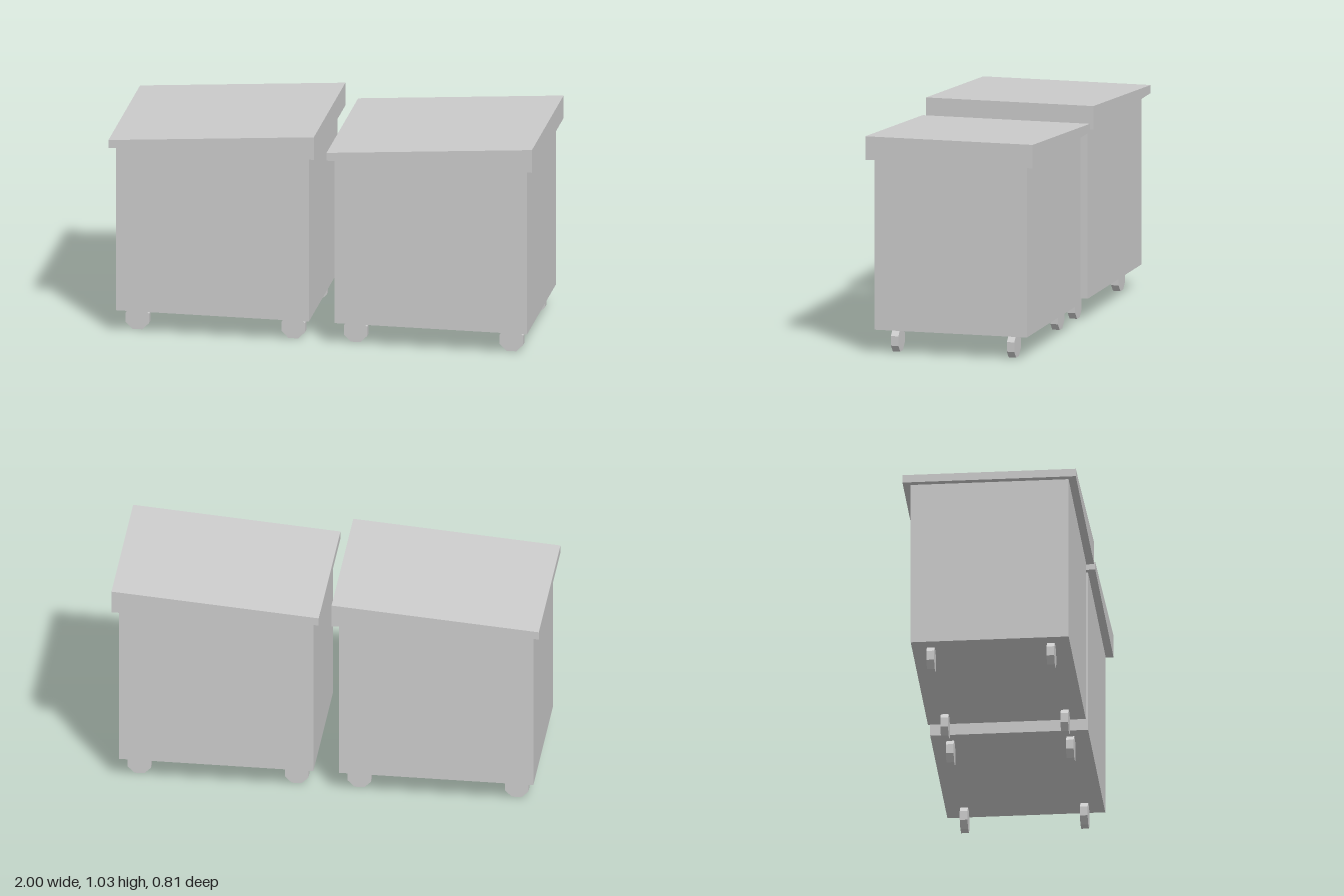
import * as THREE from 'three';

export function createModel() {
  const model = new THREE.Group();
  const grey = new THREE.MeshStandardMaterial({ color: 0xcccccc, flatShading: true });
  grey.name = 'light grey';

  const add = (parent, name, geometry, x, y, z) => {
    const mesh = new THREE.Mesh(geometry, grey);
    mesh.name = name;
    mesh.position.set(x, y, z);
    parent.add(mesh);
  };

  // Plain box body
  const bodyGeo = new THREE.BoxGeometry(0.91, 0.806, 0.736);

  // Overhanging lid: a wedge that rises towards +x
  const profile = new THREE.Shape([
    new THREE.Vector2(-0.485, 0),
    new THREE.Vector2(0.485, 0),
    new THREE.Vector2(0.485, 0.111),
    new THREE.Vector2(-0.485, 0.038),
  ]);
  const lidGeo = new THREE.ExtrudeGeometry(profile, { depth: 0.808, bevelEnabled: false });
  lidGeo.translate(0, 0, -0.404);

  // Eight-sided wheel resting on a flat side
  const wheelRadius = 0.055;
  const wheelGeo = new THREE.CylinderGeometry(
    wheelRadius / Math.cos(Math.PI / 8), wheelRadius / Math.cos(Math.PI / 8),
    0.036, 8, 1, false, Math.PI / 8);
  wheelGeo.rotateX(Math.PI / 2);

  // Two identical bins side by side
  for (const side of [-1, 1]) {
    const bin = new THREE.Group();
    bin.name = side < 0 ? 'rightBin' : 'leftBin';
    bin.position.x = side * 0.515;
    add(bin, 'body', bodyGeo, 0, 0.513, 0);
    add(bin, 'lid', lidGeo, 0, 0.916, 0);
    for (const x of [-0.368, 0.368]) {
      for (const z of [-0.28, 0.28]) {
        add(bin, z > 0 ? 'frontWheel' : 'backWheel', wheelGeo, x, wheelRadius, z);
      }
    }
    model.add(bin);
  }
  return model;
}
